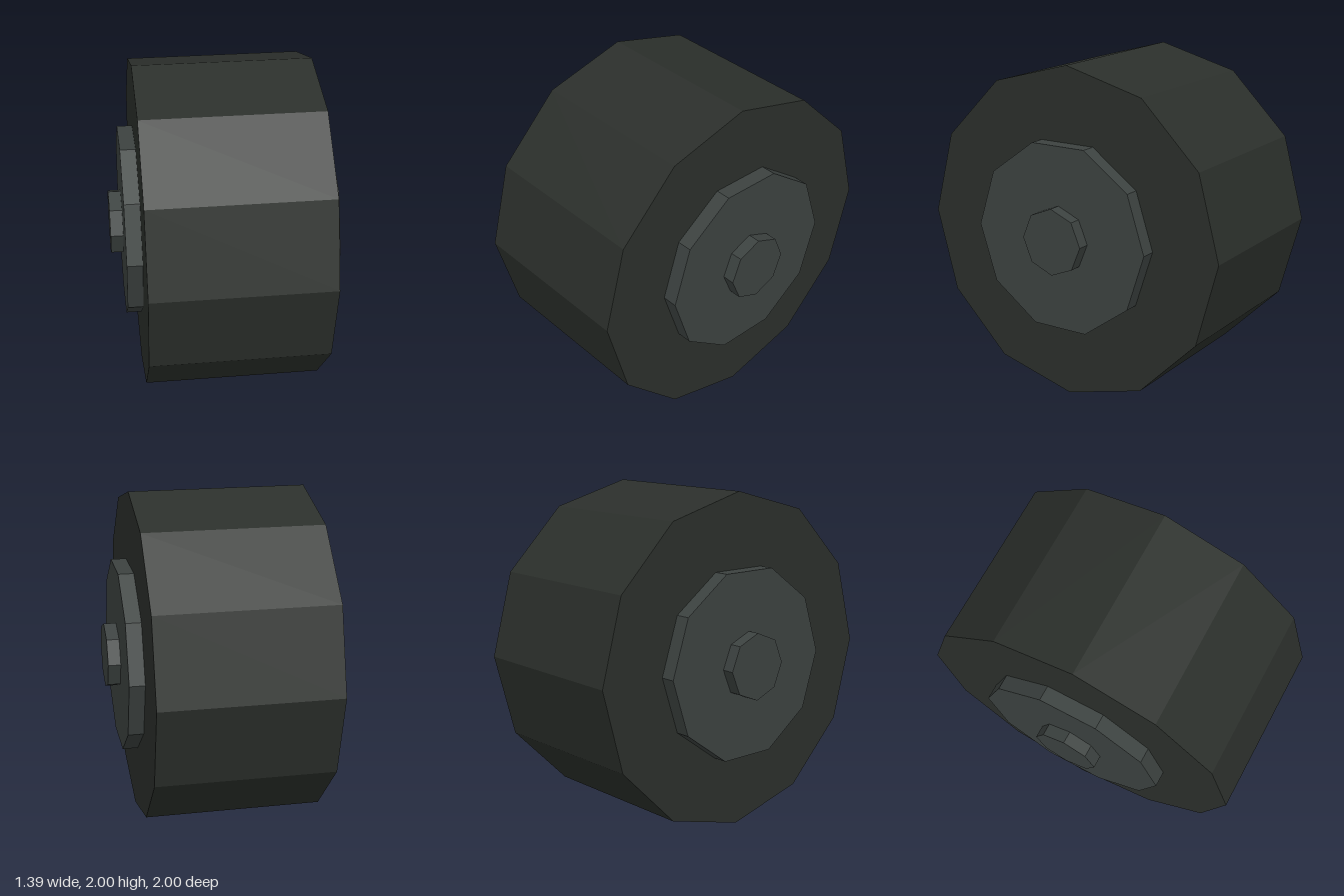
import * as THREE from 'three';

// Faceted disc lying along the x axis, with a corner at +z
function disc(name, radius, width, sides, color) {
  const geometry = new THREE.CylinderGeometry(radius, radius, width, sides);
  geometry.rotateZ(Math.PI / 2);
  const mesh = new THREE.Mesh(geometry, new THREE.MeshStandardMaterial({ color, flatShading: true }));
  mesh.name = name;
  mesh.position.y = 1;
  return mesh;
}

export function createModel() {
  const wheel = new THREE.Group();
  wheel.name = 'wheel';
  wheel.add(
    disc('tire', 1, 1.06, 12, 0x2b2f2b),
    disc('hub', 0.58, 1.245, 10, 0x3c4240), // passes through the tire, showing on both sides
    disc('axle', 0.2, 1.395, 8, 0x3c4240) // passes through the hub
  );
  return wheel;
}
